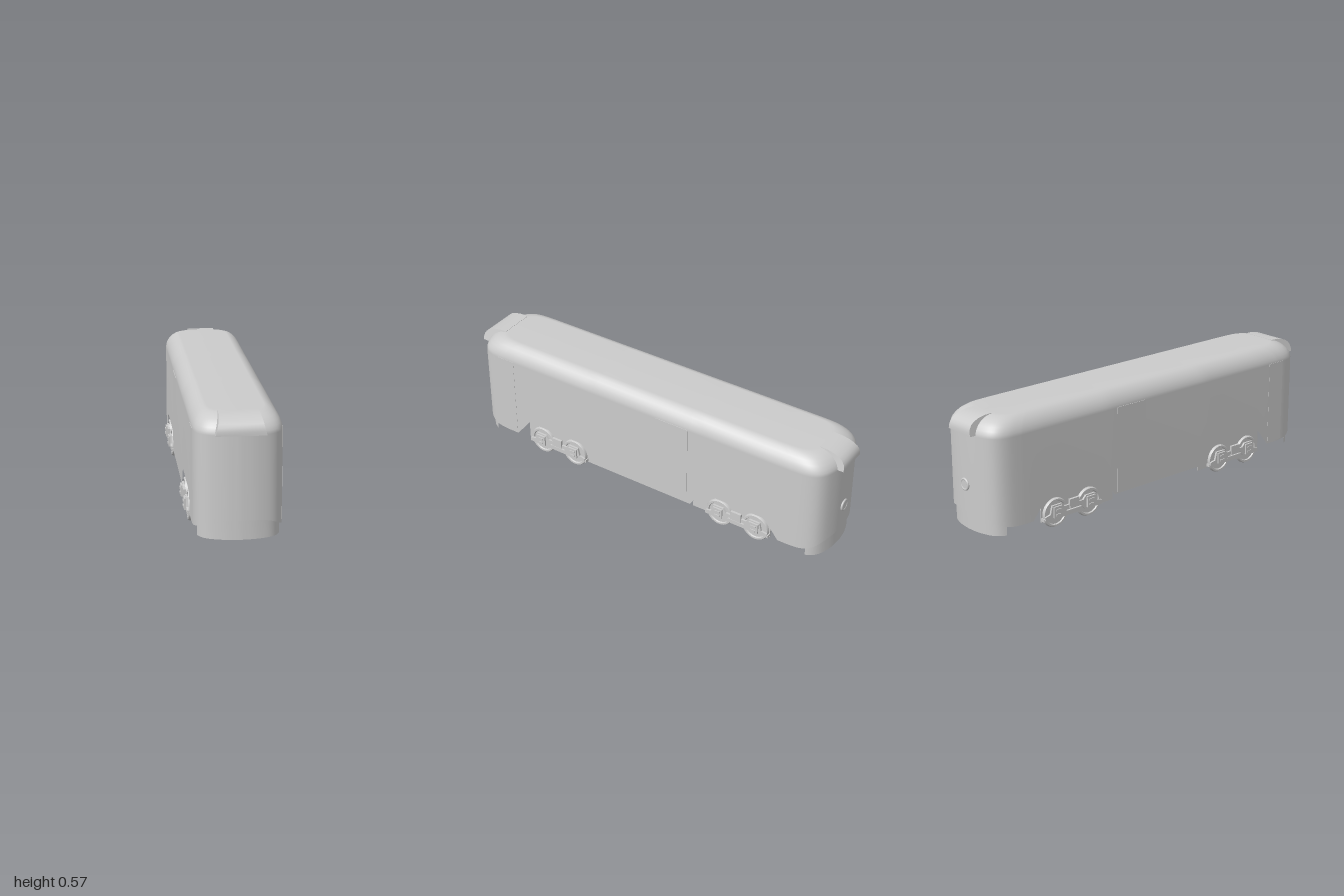
import * as THREE from 'three';
import { toCreasedNormals } from 'three/addons/utils/BufferGeometryUtils.js';

const grey = new THREE.MeshStandardMaterial({ color: 0xcccccc, side: THREE.DoubleSide });

function add(parent, name, geometry, x = 0, y = 0, z = 0) {
  const mesh = new THREE.Mesh(geometry, grey);
  mesh.name = name;
  mesh.position.set(x, y, z);
  parent.add(mesh);
  return mesh;
}

// Extrudes a [z, y] outline along x, centred on x = 0
function extrudeX(points, width) {
  const shape = new THREE.Shape(points.map(([z, y]) => new THREE.Vector2(z, y)));
  const g = new THREE.ExtrudeGeometry(shape, { depth: width, bevelEnabled: false });
  return g.rotateY(-Math.PI / 2).translate(width / 2, 0, 0);
}

// Surface through rows of equally many points
function loft(rows, closed) {
  const n = rows[0].length, index = [];
  for (let r = 0; r < rows.length - 1; r++) {
    for (let i = 0; i < (closed ? n : n - 1); i++) {
      const a = r * n + i, b = r * n + (i + 1) % n;
      index.push(a, b, a + n, b, b + n, a + n);
    }
  }
  const g = new THREE.BufferGeometry();
  g.setAttribute('position', new THREE.Float32BufferAttribute(rows.flat(2), 3));
  g.setIndex(index);
  g.computeVertexNormals();
  return g;
}

// Rounded end in plan, from the -x corner over the nose to the +x corner
function endPlan() {
  const half = [[0.193, 0.8], [0.191, 0.85], [0.186, 0.885], [0.175, 0.915], [0.155, 0.94], [0.12, 0.96], [0.06, 0.976], [0, 0.981]];
  const curve = new THREE.SplineCurve(half.map(([x, z]) => new THREE.Vector2(x, z)));
  const right = curve.getPoints(20).map((p) => [p.x, p.y]);
  return [...right.slice(0, -1).map(([x, z]) => [-x, z]), ...right.reverse()];
}

// Lower rim: raised arc at the ends, straight sill on the sides
const endRim = (x) => 0.117 - 0.052 * Math.pow(Math.abs(x) / 0.193, 4);

function bodyShell() {
  // Side points [z, rim height], with a cut-out over each truck
  const side = [[0.745, 0.065], [0.67, 0.16], [0.335, 0.16], [0.27, 0.065],
    [-0.28, 0.065], [-0.345, 0.16], [-0.68, 0.16], [-0.755, 0.065]];
  const front = endPlan();
  const plan = [
    ...front.map(([x, z]) => [x, z, endRim(x)]),
    ...side.map(([z, y]) => [0.193, z, y]),
    ...front.map(([x, z]) => [-x, -z, endRim(x)]),
    ...side.slice().reverse().map(([z, y]) => [-0.193, z, y]),
  ];
  const rows = [plan.map(([x, z, y]) => [x, y, z]), plan.map(([x, z]) => [x, 0.485, z])];
  // Roof shoulder: [inset fraction, height]
  const shoulder = [[0.03, 0.5], [0.1, 0.515], [0.22, 0.531], [0.4, 0.546], [0.62, 0.558], [0.82, 0.564], [1, 0.567]];
  for (const [t, y] of shoulder) {
    rows.push(plan.map(([x, z]) => [x * (1 - 0.36 * t), y, z * (1 - 0.1 * t)]));
  }
  rows.push(plan.map(([, z]) => [0, 0.567, z * 0.9]));
  return loft(rows, true);
}

// Recessed curved skirt under the end
function apron() {
  const plan = endPlan().filter(([, z]) => z > 0.89).map(([x, z]) => [x * 0.965, z * 0.99]);
  const row = (y) => plan.map(([x, z]) => [x, y, z]);
  return loft([row(0.03), row(0.125)], false);
}

// Rounded hood over the end, narrowing toward the roof
function visor(width) {
  const g = extrudeX([[0.955, 0.49], [1, 0.49], [1, 0.507], [0.996, 0.523], [0.986, 0.538], [0.97, 0.55],
    [0.945, 0.56], [0.91, 0.567], [0.87, 0.568], [0.87, 0.55], [0.94, 0.53]], width);
  const p = g.attributes.position;
  for (let i = 0; i < p.count; i++) p.setX(i, p.getX(i) * (1 - 2.4 * (p.getY(i) - 0.49)));
  return toCreasedNormals(g, 0.7);
}

function wheelGeometry() {
  const profile = [[0, 0], [0.07, 0], [0.07, 0.005], [0.066, 0.013], [0.057, 0.013], [0.054, 0.007], [0, 0.007]];
  const g = new THREE.LatheGeometry(profile.map(([r, h]) => new THREE.Vector2(r, h)), 32);
  return toCreasedNormals(g.rotateZ(-Math.PI / 2), 0.5);
}

// One side of a truck, facing +x
function truckSide() {
  const g = new THREE.Group();
  g.name = 'truckSide';
  add(g, 'backPlate', new THREE.BoxGeometry(0.006, 0.195, 0.42), 0.166, 0.1325, -0.02);
  add(g, 'plateLedge', new THREE.BoxGeometry(0.022, 0.014, 0.34), 0.18, 0.05, 0);
  const half = [[0.165, 0.05], [0.165, 0.066], [0.135, 0.072], [0.125, 0.112], [0.07, 0.112], [0.055, 0.094]];
  const lower = [[0.04, 0.075], [0.06, 0.05]];
  const outline = [...half, ...half.slice().reverse().map(([z, y]) => [-z, y]),
    ...lower.slice().reverse().map(([z, y]) => [-z, y]), ...lower];
  add(g, 'sideFrame', extrudeX(outline, 0.01), 0.19);
  add(g, 'bolster', new THREE.BoxGeometry(0.012, 0.045, 0.055), 0.194, 0.097, 0);
  add(g, 'springBeam', new THREE.BoxGeometry(0.008, 0.01, 0.1), 0.19, 0.062, 0);
  for (const z of [-0.097, 0.097]) {
    add(g, 'wheel', wheelGeometry(), 0.173, 0.07, z);
    add(g, 'journalBox', new THREE.BoxGeometry(0.016, 0.052, 0.048), 0.195, 0.08, z);
    for (const y of [0.067, 0.09]) {
      add(g, 'journalRib', new THREE.BoxGeometry(0.008, 0.009, 0.026), 0.203, y, z);
    }
  }
  return g;
}

export function createModel() {
  const model = new THREE.Group();
  model.name = 'tram';

  const body = new THREE.Group();
  body.name = 'body';
  body.position.x = 0.007;
  model.add(body);
  add(body, 'bodyShell', bodyShell());
  add(body, 'frontApron', apron());
  add(body, 'rearApron', apron()).rotation.y = Math.PI;
  add(body, 'frontVisor', visor(0.215));
  add(body, 'rearVisor', visor(0.16)).rotation.y = Math.PI;

  // Doors on both sides: one near the front, one amidships
  for (const s of [-1, 1]) {
    add(body, 'middleDoor', new THREE.BoxGeometry(0.008, 0.415, 0.175), s * 0.191, 0.28, -0.175);
    add(body, 'frontDoor', new THREE.BoxGeometry(0.008, 0.415, 0.095), s * 0.19, 0.28, 0.795);
  }

  // Rear lamp
  add(body, 'lampRing', new THREE.TorusGeometry(0.024, 0.006, 10, 32), 0, 0.245, -0.982);
  add(body, 'lampLens', new THREE.CylinderGeometry(0.022, 0.022, 0.012, 32).rotateX(Math.PI / 2), 0, 0.245, -0.98);

  // Two trucks, each with two matching sides
  for (const [name, z] of [['frontTruck', 0.503], ['rearTruck', -0.53]]) {
    const truck = new THREE.Group();
    truck.name = name;
    truck.position.z = z;
    for (const s of [1, -1]) {
      const side = truckSide();
      if (s < 0) side.rotation.y = Math.PI;
      // Keep the plate centred behind the cut-out
      side.getObjectByName('backPlate').position.z = s * (z > 0 ? -0.02 : 0.04);
      truck.add(side);
    }
    model.add(truck);
  }
  return model;
}
